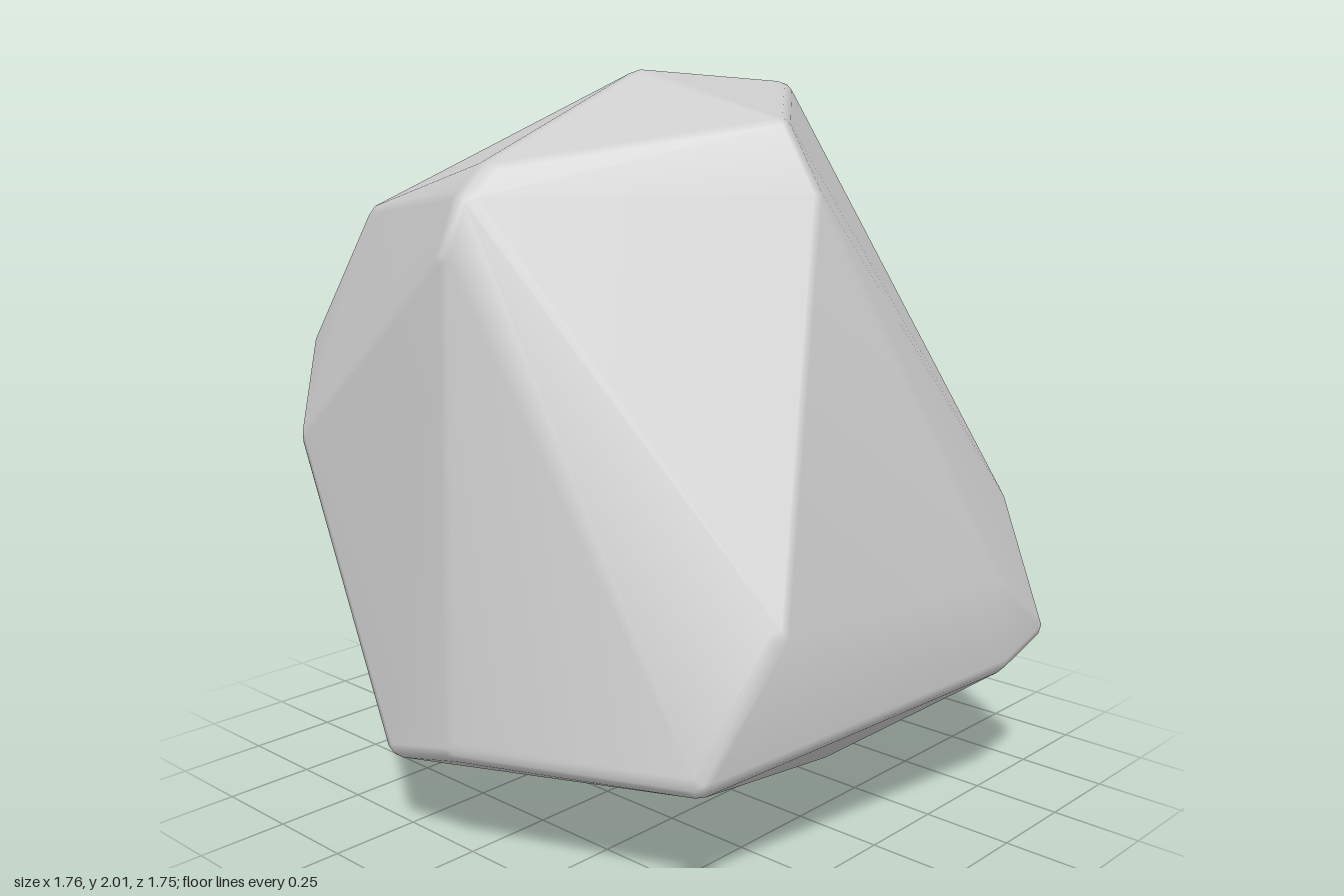
import * as THREE from 'three';
import { ConvexGeometry } from 'three/addons/geometries/ConvexGeometry.js';
import { mergeVertices } from 'three/addons/utils/BufferGeometryUtils.js';

// Corners of the boulder, [x, y, z]
const CORNERS = [
  // crown
  [0, 2.0, 0.11], [-0.22, 1.91, 0.04], [0.09, 1.965, -0.38],
  [0.41, 1.885, 0.02], [0.525, 1.71, 0.02], [-0.08, 1.8, -0.61], [-0.06, 1.7, -0.66],
  // shoulders
  [0, 1.775, 0.66], [0, 1.71, 0.735], [0, 1.57, 0.795],
  [-0.65, 1.62, 0.51], [-0.87, 1.515, -0.15], [-0.8, 1.54, 0.02], [-0.85, 1.24, 0.575],
  // flanks
  [-0.65, 1.02, 0.775], [-0.785, 0.57, 0.36], [0.75, 0.65, 0.41],
  [0.855, 0.66, -0.38], [0.74, 0.8, -0.6],
  // lower rim
  [0.865, 0.46, -0.6], [0.87, 0.41, -0.42], [0.69, 0.33, 0.63],
  [0.06, 0.31, 0.865], [-0.17, 0.255, 0.865], [-0.01, 0.45, -0.865], [0, 0.28, -0.8],
  // underside
  [-0.4, 0, -0.34], [0.37, 0.04, -0.28],
];
const ROUNDING = 0.05;

export function createModel() {
  const group = new THREE.Group();
  group.name = 'boulder';

  // A small ball pulled in at each corner gives the hull narrow rounded edges
  const ball = new THREE.IcosahedronGeometry(ROUNDING, 1).getAttribute('position');
  const middle = new THREE.Vector3(0, 1, 0);
  const points = [];
  for (const corner of CORNERS) {
    const tip = new THREE.Vector3(...corner);
    const inward = middle.clone().sub(tip).setLength(ROUNDING);
    const centre = tip.add(inward);
    for (let i = 0; i < ball.count; i++) {
      points.push(new THREE.Vector3().fromBufferAttribute(ball, i).add(centre));
    }
  }

  // Shared vertices: large faces stay flat, the rounded edges blend smoothly
  let hull = new ConvexGeometry(points);
  hull.deleteAttribute('normal');
  hull = mergeVertices(hull, 1e-4);
  hull.computeVertexNormals();

  // Centre it and stand it on the ground
  hull.computeBoundingBox();
  const mid = hull.boundingBox.getCenter(new THREE.Vector3());
  hull.translate(-mid.x, -hull.boundingBox.min.y, -mid.z);

  const rock = new THREE.Mesh(hull, new THREE.MeshStandardMaterial({ color: 0xcccccc }));
  rock.name = 'rock';
  group.add(rock);
  return group;
}
